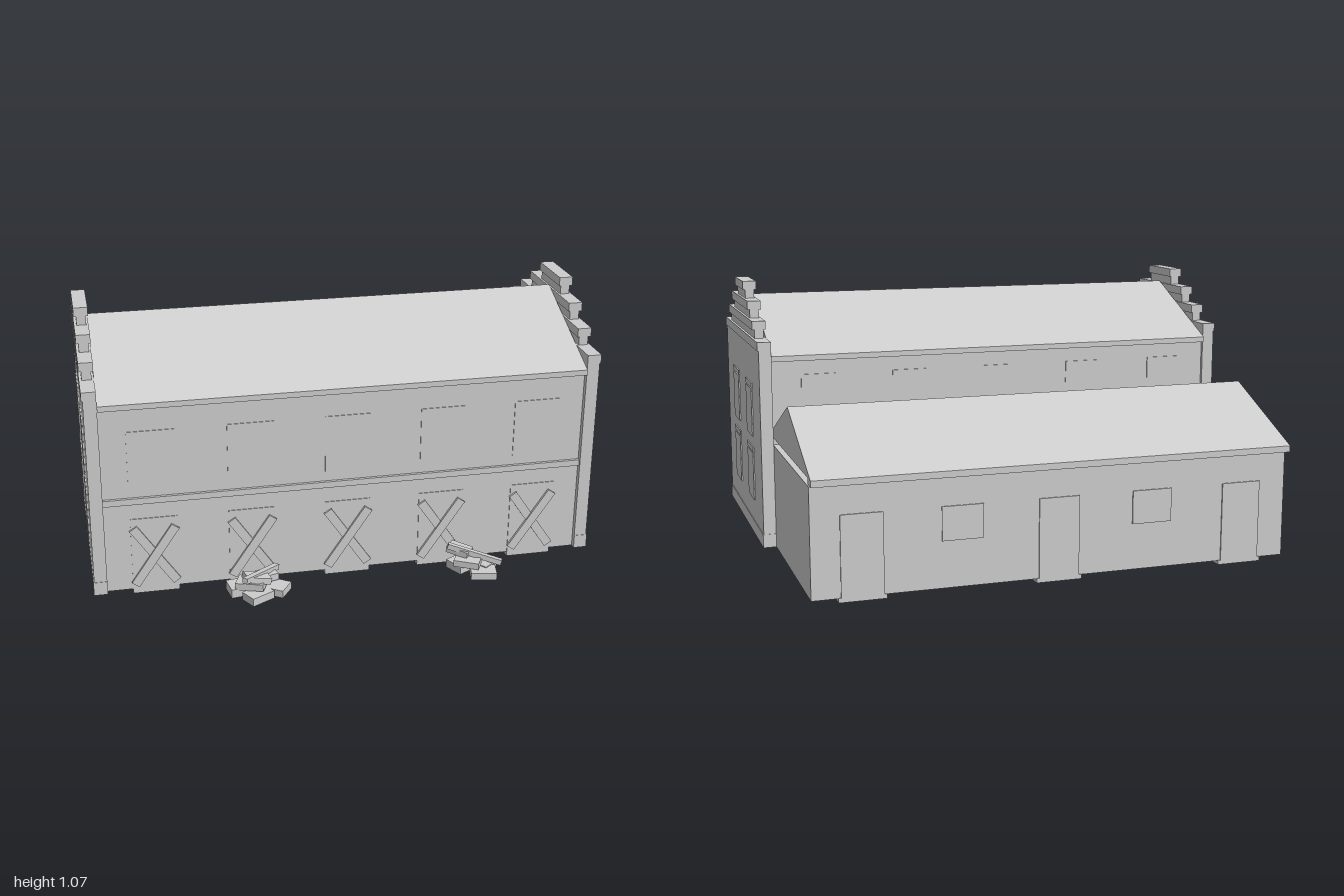
import * as THREE from 'three';

const stone = new THREE.MeshStandardMaterial({ color: 0xcccccc });
stone.name = 'stone grey';

const BAY = 0.378;
const HALF = 0.945; // half length between the gable walls

// Box given by its min and max corners
function block(parent, name, x0, x1, y0, y1, z0, z1) {
  const mesh = new THREE.Mesh(new THREE.BoxGeometry(x1 - x0, y1 - y0, z1 - z0), stone);
  mesh.position.set((x0 + x1) / 2, (y0 + y1) / 2, (z0 + z1) / 2);
  mesh.name = name;
  parent.add(mesh);
  return mesh;
}

// Profile of [z, y] points pushed along x
function prism(parent, name, points, x0, x1) {
  const shape = new THREE.Shape(points.map(([z, y]) => new THREE.Vector2(-z, y)));
  const geo = new THREE.ExtrudeGeometry(shape, { depth: x1 - x0, bevelEnabled: false });
  geo.rotateY(Math.PI / 2);
  geo.translate(x0, 0, 0);
  const mesh = new THREE.Mesh(geo, stone);
  mesh.name = name;
  parent.add(mesh);
}

// Crossed boards over a ground floor opening
function crossedBoards(parent, x) {
  for (const s of [-1, 1]) {
    const board = new THREE.Mesh(new THREE.BoxGeometry(0.287, 0.035, 0.01), stone);
    board.position.set(x, 0.163, s > 0 ? 0.727 : 0.721);
    board.rotation.z = s * 0.973;
    board.name = 'crossBoard';
    parent.add(board);
  }
}

// Stepped gable wall with overhanging caps, built for the +x end
function gable() {
  const g = new THREE.Group();
  block(g, 'gableWall', 0.945, 0.995, 0.02, 0.822, -0.173, 0.736);
  block(g, 'gablePlinth', 0.945, 0.998, 0.02, 0.075, -0.175, 0.738);
  const steps = [
    [-0.173, 0.736, 0.857], [-0.053, 0.62, 0.927],
    [0.058, 0.51, 0.997], [0.168, 0.394, 1.068],
  ];
  for (const [z0, z1, top] of steps) {
    block(g, 'gableStep', 0.953, 0.99, top - 0.075, top - 0.03, z0 + 0.004, z1 - 0.004);
    block(g, 'gableCap', 0.945, 1, top - 0.035, top, z0, z1);
  }
  // Windows on the end wall
  for (const z of [0.1, 0.46]) {
    for (const y of [0.17, 0.44]) {
      block(g, 'endWindow', 0.993, 1, y, y + 0.2, z - 0.075, z + 0.075);
      block(g, 'endLintel', 0.993, 1, y + 0.205, y + 0.225, z - 0.085, z + 0.085);
    }
  }
  return g;
}

// Heap of bricks and planks: [x, y, z, width, height, depth, turn, tilt]
function heap(name, x, z, pieces) {
  const g = new THREE.Group();
  g.name = name;
  g.position.set(x, 0, z);
  for (const [px, py, pz, w, h, d, turn, tilt] of pieces) {
    const m = new THREE.Mesh(new THREE.BoxGeometry(w, h, d), stone);
    m.position.set(px, py, pz);
    m.rotation.set(0, turn, tilt);
    m.name = 'rubble';
    g.add(m);
  }
  return g;
}

export function createModel() {
  const model = new THREE.Group();
  model.name = 'warehouse';

  // Main hall and lower rear annex
  block(model, 'hallWalls', -HALF, HALF, 0.02, 0.8, -0.16, 0.715);
  block(model, 'annexWalls', -HALF, HALF, 0.02, 0.44, -0.9, -0.16);

  // Roofs
  prism(model, 'hallRoof', [[0.738, 0.8], [0.28, 1.005], [-0.182, 0.8]], -HALF, HALF);
  prism(model, 'annexRoof',
    [[-0.94, 0.47], [-0.16, 0.47], [-0.16, 0.505], [-0.508, 0.657]], -HALF, HALF);

  // Eaves and string course
  block(model, 'frontEave', -HALF, HALF, 0.778, 0.8, 0.7, 0.742);
  block(model, 'rearEave', -HALF, HALF, 0.778, 0.8, -0.182, -0.15);
  block(model, 'annexEave', -HALF, HALF, 0.445, 0.47, -0.94, -0.89);
  block(model, 'stringCourse', -HALF, HALF, 0.385, 0.41, 0.7, 0.727);

  // Five bays of openings
  for (let i = -2; i <= 2; i++) {
    const x = i * BAY;
    block(model, 'frontThreshold', x - 0.09, x + 0.09, 0, 0.022, 0.66, 0.715);
    block(model, 'frontDoor', x - 0.09, x + 0.09, 0.022, 0.32, 0.712, 0.718);
    block(model, 'frontWindow', x - 0.09, x + 0.09, 0.45, 0.68, 0.712, 0.718);
    crossedBoards(model, x);
    block(model, 'rearUpperWindow', x - 0.07, x + 0.07, 0.63, 0.72, -0.165, -0.158);
    // Annex alternates doors and windows
    if (i % 2 === 0) {
      block(model, 'annexDoor', x - 0.08, x + 0.08, 0.02, 0.33, -0.905, -0.898);
      block(model, 'annexThreshold', x - 0.09, x + 0.09, 0.005, 0.022, -0.905, -0.86);
    } else {
      block(model, 'annexWindow', x - 0.08, x + 0.08, 0.2, 0.33, -0.905, -0.898);
    }
  }

  // Stepped gables at both ends
  const leftGable = gable();
  leftGable.name = 'leftGable';
  const rightGable = gable();
  rightGable.name = 'rightGable';
  rightGable.rotation.y = Math.PI;
  rightGable.position.z = 0.563;
  model.add(leftGable, rightGable);

  // Rubble heaps in front
  model.add(heap('rightRubble', -0.375, 0.835, [
    [-0.06, 0.038, -0.02, 0.11, 0.036, 0.08, 0.15, 0],
    [0.06, 0.035, 0, 0.11, 0.03, 0.08, -0.6, 0],
    [-0.01, 0.036, 0.05, 0.1, 0.032, 0.07, 0.5, 0],
    [-0.03, 0.068, 0.01, 0.11, 0.028, 0.07, -0.4, 0.05],
    [0.03, 0.072, -0.03, 0.09, 0.028, 0.06, 0.3, 0],
    [0.01, 0.1, 0, 0.21, 0.022, 0.022, 0.78, -0.15],
    [-0.01, 0.095, 0.02, 0.1, 0.025, 0.06, 0.2, -0.25],
  ]));
  model.add(heap('leftRubble', 0.48, 0.83, [
    [-0.03, 0.037, -0.03, 0.1, 0.034, 0.08, 0.5, 0],
    [0.03, 0.035, 0.055, 0.1, 0.03, 0.07, -0.2, 0],
    [0.04, 0.037, -0.01, 0.1, 0.034, 0.07, -0.9, 0],
    [-0.02, 0.066, 0.01, 0.1, 0.026, 0.07, -0.5, 0],
    [-0.04, 0.094, -0.04, 0.09, 0.026, 0.06, -0.7, -0.1],
    [0.01, 0.09, 0, 0.22, 0.022, 0.02, -0.33, -0.27],
  ]));

  return model;
}
